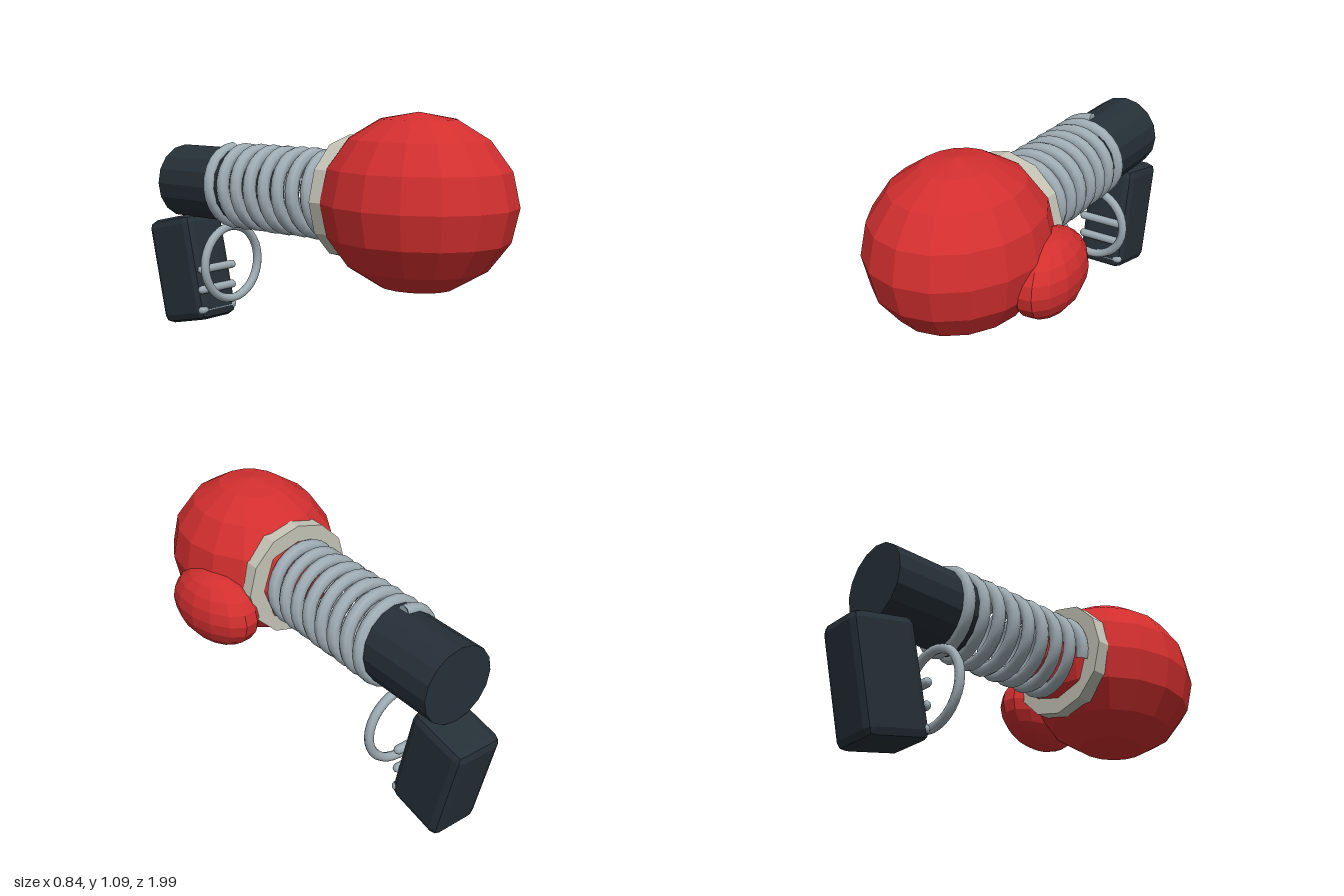
import * as THREE from 'three';
import { RoundedBoxGeometry } from 'three/addons/geometries/RoundedBoxGeometry.js';

const AXIS_X = -0.05, AXIS_Y = 0.712;

function mat(name, color, flatShading) {
  const m = new THREE.MeshStandardMaterial({ color, flatShading });
  m.name = name;
  return m;
}

// Helix running along z, starting at the top of the coil
class Helix extends THREE.Curve {
  constructor(radius, z0, pitch, turns) {
    super();
    Object.assign(this, { radius, z0, pitch, turns });
  }
  getPoint(t, target = new THREE.Vector3()) {
    const a = Math.PI / 2 + t * this.turns * Math.PI * 2;
    return target.set(
      Math.cos(a) * this.radius,
      Math.sin(a) * this.radius,
      this.z0 + t * this.turns * this.pitch
    );
  }
}

export function createModel() {
  const model = new THREE.Group();
  model.name = 'springGlove';

  const red = mat('gloveRed', 0xd32f2f, true);
  const cream = mat('cuffCream', 0xc6c5b8, true);
  const steel = mat('steel', 0xa0adb5, false);
  const dark = mat('darkGrip', 0x263038, true);

  const add = (name, geometry, material, x, y, z) => {
    const mesh = new THREE.Mesh(geometry, material);
    mesh.name = name;
    mesh.position.set(x, y, z);
    model.add(mesh);
    return mesh;
  };

  // Glove: stretched fist and thumb
  const fist = add('fist', new THREE.SphereGeometry(1, 16, 8), red, AXIS_X, AXIS_Y, 0.565);
  fist.scale.set(0.374, 0.374, 0.43);
  const thumb = add('thumb', new THREE.SphereGeometry(1, 14, 10), red, 0.275, 0.595, 0.407);
  thumb.scale.set(0.145, 0.177, 0.252);
  thumb.rotation.y = 0.14;

  // Cuff behind the fist
  const cuffGeo = new THREE.CylinderGeometry(0.268, 0.268, 0.075, 12).rotateX(Math.PI / 2);
  add('cuff', cuffGeo, cream, AXIS_X, AXIS_Y, 0.243);

  // Coil spring between cuff and barrel
  const helix = new Helix(0.174, -0.505, 0.085, 8.3);
  add('spring', new THREE.TubeGeometry(helix, 200, 0.03, 8, false), steel, AXIS_X, AXIS_Y, 0);
  const capGeo = new THREE.CircleGeometry(0.03, 8).rotateY(Math.PI / 2);
  add('springEnd', capGeo, steel, AXIS_X, AXIS_Y + 0.174, -0.505);

  // Barrel
  const barrelGeo = new THREE.CylinderGeometry(0.177, 0.177, 0.44, 16).rotateX(Math.PI / 2);
  add('barrel', barrelGeo, dark, AXIS_X, AXIS_Y, -0.62);

  // Tilted handle
  const handle = add('handle', new RoundedBoxGeometry(0.24, 0.52, 0.3, 1, 0.04), dark, AXIS_X, 0.278, -0.8);
  handle.rotation.x = -0.22;

  // Finger bars across the handle front
  for (const y of [0.1, 0.2, 0.3]) {
    const bar = new THREE.CapsuleGeometry(0.021, 0.2, 3, 8).rotateZ(Math.PI / 2);
    add('fingerBar', bar, steel, AXIS_X, y, -0.627);
  }

  // Trigger ring
  add('triggerRing', new THREE.TorusGeometry(0.176, 0.021, 8, 32), steel, AXIS_X, 0.337, -0.522);

  return model;
}
